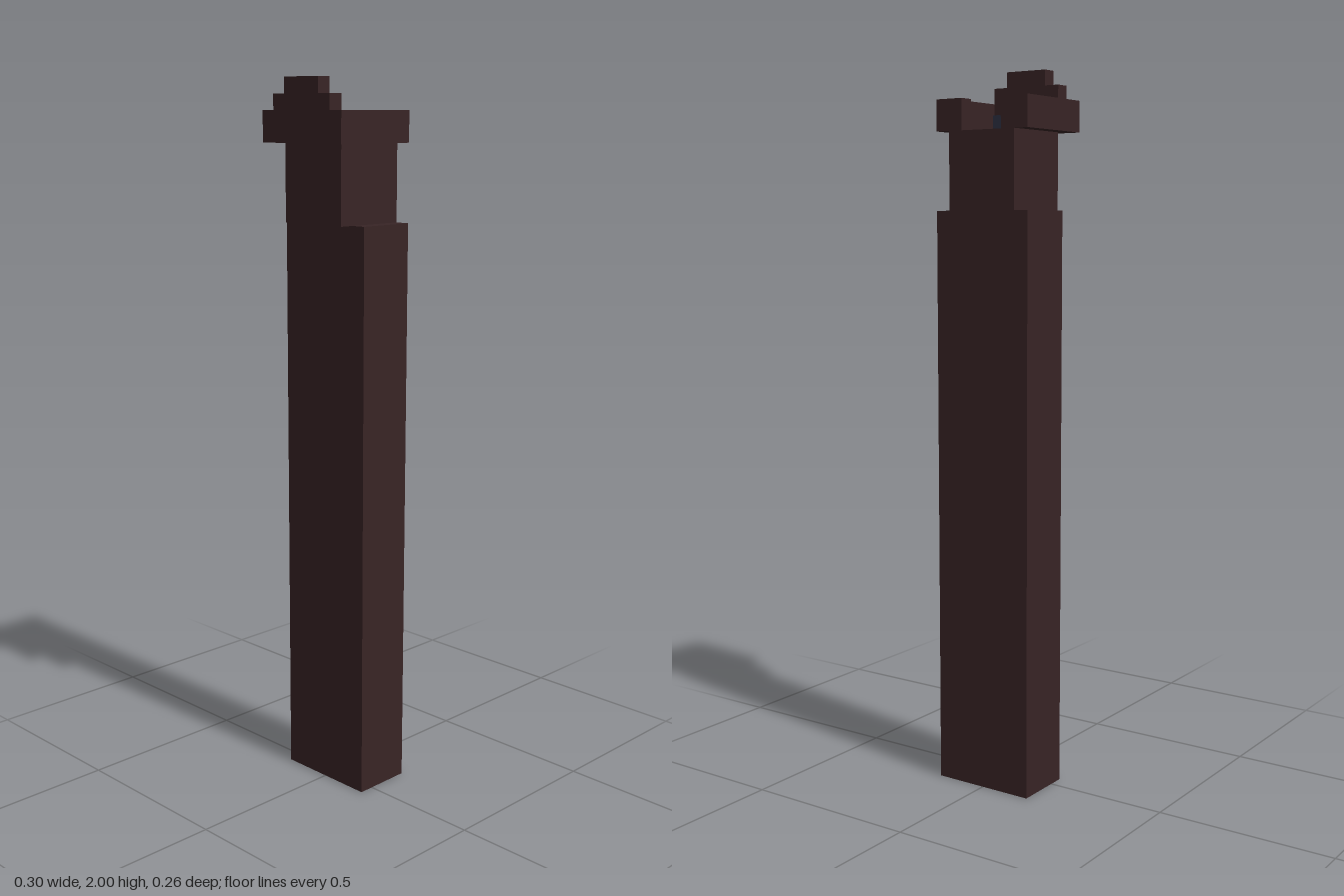
import * as THREE from 'three';

const U = 2 / 47; // one block

export function createModel() {
  const model = new THREE.Group();
  model.name = 'tower';
  const brown = new THREE.MeshStandardMaterial({ color: 0x382425 });
  brown.name = 'dark brown';
  const blue = new THREE.MeshStandardMaterial({ color: 0x2d3142 });
  blue.name = 'slate blue';

  const add = (name, geometry, material = brown) => {
    geometry.scale(U, U, U);
    const mesh = new THREE.Mesh(geometry, material);
    mesh.name = name;
    model.add(mesh);
  };

  // Box given by its extents in blocks, centred on x = 0
  const block = (name, width, y0, y1, z0, z1, material) =>
    add(name, new THREE.BoxGeometry(width, y1 - y0, z1 - z0)
      .translate(0, (y0 + y1) / 2, (z0 + z1) / 2), material);

  block('shaft', 7, 0, 38, -3, 1);
  block('neck', 5, 38, 43, -3, 2);

  // Parapet: C-shaped wall with an opening at the back, points as (x, -z)
  const half = [[1.5, 3], [3.5, 3], [3.5, -3]];
  const inner = [[2.5, -2], [2.5, 2], [1.5, 2]];
  const mirror = (points) => points.map(([x, y]) => [-x, y]).reverse();
  const outline = [...half, ...mirror(half), ...mirror(inner), ...inner];
  const shape = new THREE.Shape(outline.map(([x, y]) => new THREE.Vector2(x, y)));
  add('parapet', new THREE.ExtrudeGeometry(shape, { depth: 2, bevelEnabled: false })
    .rotateX(-Math.PI / 2).translate(0, 43, 0));

  // Stepped crest above the front wall
  [5, 3].forEach((width, i) => block('crestStep' + (i + 1), width, 45 + i, 46 + i, 2, 3));

  // Small block standing on the platform
  block('platformBlock', 1, 43, 44, -1, 0, blue);

  return model;
}
